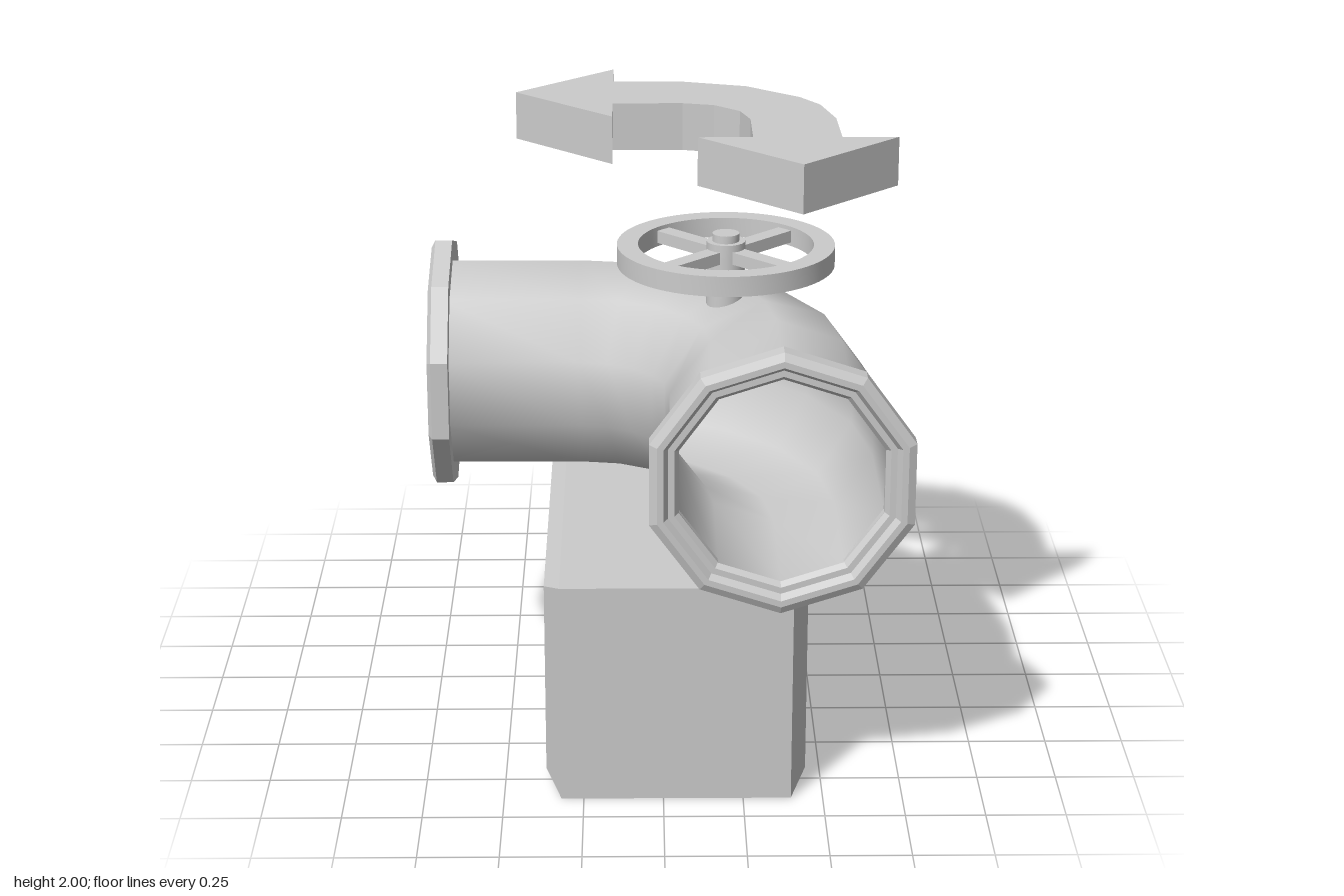
import * as THREE from 'three';
import { toCreasedNormals } from 'three/addons/utils/BufferGeometryUtils.js';

const V = (x, y, z) => new THREE.Vector3(x, y, z);
const smooth = new THREE.MeshStandardMaterial({ color: 0xcccccc });
const flat = new THREE.MeshStandardMaterial({ color: 0xcccccc, flatShading: true });

function add(parent, name, geometry, material = flat) {
  const mesh = new THREE.Mesh(geometry, material);
  mesh.name = name;
  parent.add(mesh);
  return mesh;
}

// Skin closed cross-sections; skip lists strips left open, caps lists end quads
function loft(rings, { flip = false, skip = [], caps = [] } = {}) {
  const n = rings[0].length, index = [];
  const quad = (a, b, c, d, f) => index.push(...(f ? [a, d, c, a, c, b] : [a, b, c, a, c, d]));
  for (let i = 0; i < rings.length - 1; i++) {
    for (let j = 0; j < n; j++) {
      if (skip.includes(j)) continue;
      const k = (j + 1) % n;
      quad(i * n + j, i * n + k, (i + 1) * n + k, (i + 1) * n + j, flip);
    }
  }
  const last = (rings.length - 1) * n;
  for (const q of caps) {
    quad(...q, true);
    quad(...q.map((v) => v + last), false);
  }
  const geometry = new THREE.BufferGeometry().setFromPoints(rings.flat());
  geometry.setIndex(index);
  geometry.computeVertexNormals();
  return geometry;
}

function polygon(points, ShapeType = THREE.Shape) {
  return new ShapeType(points.map(([x, y]) => new THREE.Vector2(x, y)));
}

// Bevelled plinth with a raised underside and triangular vents
function buildBase() {
  const base = new THREE.Group();
  base.name = 'base';
  // [z of inner edges, bottom y, z of side edges, side's lower y]
  const stations = [
    [-0.97, 0, -0.86, 0.05], [-0.67, 0, -0.6, 0.05], [-0.52, 0.09, -0.49, 0.12],
    [0.42, 0.09, 0.4, 0.12], [0.56, 0, 0.51, 0.05], [0.88, 0, 0.77, 0.05],
  ];
  const rings = stations.map(([z, y, zs, ys]) => [
    V(0.4, y, z), V(0.45, ys, zs), V(0.45, 0.68, zs), V(0.4, 0.72, z),
    V(-0.32, 0.72, z), V(-0.37, 0.68, zs), V(-0.37, ys, zs), V(-0.32, y, z),
  ]);
  add(base, 'baseBody', loft(rings, {
    skip: [1, 5],
    caps: [[0, 3, 4, 7], [0, 1, 2, 3], [4, 5, 6, 7]],
  }));

  // Side panels, drawn in (-z, y) for the left and (z, y) for the right
  for (const side of [1, -1]) {
    const outline = stations.map(([, , z, y]) => [-side * z, y]);
    outline.push([-side * 0.77, 0.68], [side * 0.86, 0.68]);
    const panel = polygon(outline);
    const vents = [[side > 0 ? 0.55 : 0.23, 0.5], [0.58, 0.425], [0.605, 0.345]];
    for (const [tip, y] of vents) {
      panel.holes.push(polygon(
        [[side * tip, y], [side * 0.67, y], [side * 0.67, y - 0.027]], THREE.Path));
    }
    const mesh = add(base, 'ventedSidePanel', new THREE.ShapeGeometry(panel));
    mesh.rotation.y = side * Math.PI / 2;
    mesh.position.x = side > 0 ? 0.45 : -0.37;
  }
  return base;
}

// Ten-sided elbow pipe with an inner wall and two flanges
function buildPipe() {
  const pipe = new THREE.Group();
  pipe.name = 'elbowPipe';
  const y = 1.09, bend = 0.62, cx = -0.265, cz = 0.455;
  const path = [[-0.71, 0, true]];
  for (let i = 0; i <= 5; i++) path.push([0, i * Math.PI / 10]);
  path.push([0.93, Math.PI / 2, true]);
  const tube = (r) => path.map(([end, t, straight]) => {
    const out = V(Math.sin(t), 0, -Math.cos(t));
    const centre = V(cx, y, cz).addScaledVector(out, bend);
    if (straight && t === 0) centre.x = end;
    if (straight && t > 0) centre.z = end;
    return Array.from({ length: 10 }, (_, j) => {
      const a = j * Math.PI / 5;
      return centre.clone().addScaledVector(out, -r * Math.sin(a)).add(V(0, r * Math.cos(a), 0));
    });
  });
  add(pipe, 'outerWall', loft(tube(0.35)), smooth);
  add(pipe, 'innerWall', loft(tube(0.325), { flip: true }), smooth);

  const profile = [
    [0.34, 0], [0.42, 0], [0.42, 0.055], [0.395, 0.068], [0.375, 0.068],
    [0.36, 0.045], [0.34, 0.045], [0.325, 0.025], [0.325, 0],
  ].map(([r, h]) => new THREE.Vector2(r, h));
  const flange = new THREE.LatheGeometry(profile, 10).rotateX(Math.PI / 2);
  add(pipe, 'frontFlange', flange).position.set(cx + bend, y, 0.9);
  const sideFlange = add(pipe, 'sideFlange', flange);
  sideFlange.rotation.y = -Math.PI / 2;
  sideFlange.position.set(-0.687, y, cz - bend);
  return pipe;
}

// Valve handwheel: stem, nut, rim and four diagonal spokes
function buildHandwheel() {
  const wheel = new THREE.Group();
  wheel.name = 'handwheel';
  wheel.position.set(0.205, 0, 0.165);
  const cylinder = (name, r, y0, y1) => {
    const geometry = toCreasedNormals(new THREE.CylinderGeometry(r, r, y1 - y0, 20), 0.7);
    add(wheel, name, geometry, smooth).position.y = (y0 + y1) / 2;
  };
  cylinder('stem', 0.062, 1.33, 1.61);
  cylinder('stemNut', 0.043, 1.6, 1.635);

  const ring = new THREE.Shape().absarc(0, 0, 0.347, 0, Math.PI * 2);
  ring.holes.push(new THREE.Path().absarc(0, 0, 0.28, 0, Math.PI * 2, true));
  const rim = new THREE.ExtrudeGeometry(ring, {
    depth: 0.065, bevelEnabled: false, curveSegments: 32,
  }).rotateX(-Math.PI / 2);
  add(wheel, 'rim', toCreasedNormals(rim, 0.7), smooth).position.y = 1.535;

  for (let i = 0; i < 2; i++) {
    const spoke = add(wheel, 'spokePair', new THREE.BoxGeometry(0.58, 0.04, 0.055));
    spoke.position.y = 1.567;
    spoke.rotation.y = Math.PI / 4 + i * Math.PI / 2;
  }
  return wheel;
}

// Floating curved double-headed arrow, outlined in (x, z)
function buildArrow() {
  const outline = [
    [-0.47, -0.205], [-0.155, -0.51], [-0.155, -0.345], [0.08, -0.34], [0.28, -0.28],
    [0.45, -0.135], [0.51, -0.04], [0.55, 0.13], [0.555, 0.355], [0.73, 0.355],
    [0.42, 0.665], [0.11, 0.355], [0.28, 0.355], [0.28, 0.14], [0.25, 0.04],
    [0.17, -0.035], [0.07, -0.06], [-0.155, -0.06], [-0.155, 0.105],
  ];
  const geometry = new THREE.ExtrudeGeometry(polygon(outline.map(([x, z]) => [x, -z])), {
    depth: 0.155, bevelEnabled: false,
  }).rotateX(-Math.PI / 2).translate(0, 1.845, 0);
  const arrow = new THREE.Group();
  add(arrow, 'turnArrow', geometry);
  return arrow;
}

export function createModel() {
  const model = new THREE.Group();
  model.name = 'pipeValve';
  model.add(buildBase(), buildPipe(), buildHandwheel(), buildArrow());
  return model;
}
